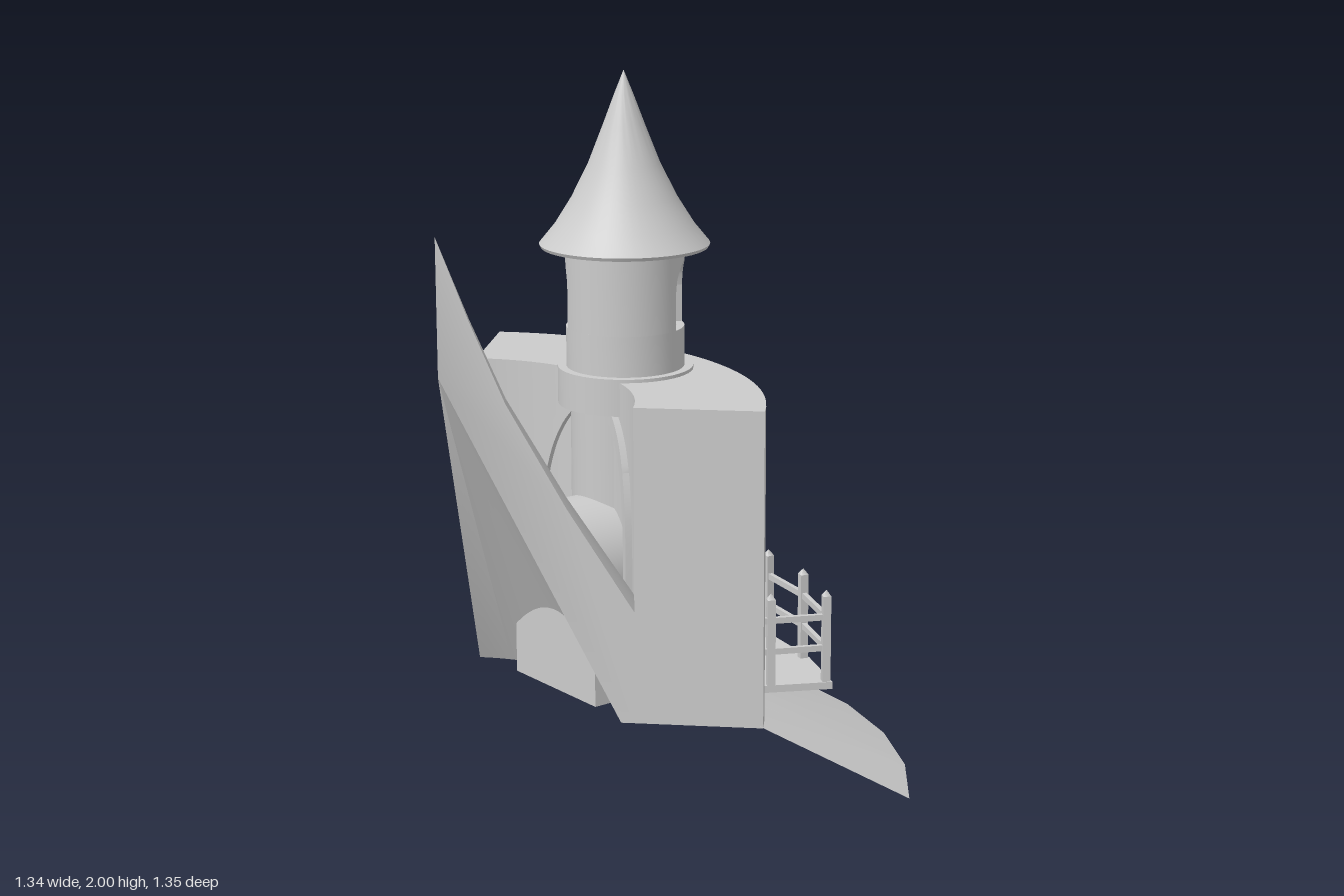
import * as THREE from 'three';
import { toCreasedNormals } from 'three/addons/utils/BufferGeometryUtils.js';

const MAT = new THREE.MeshStandardMaterial({ color: 0xcccccc, side: THREE.DoubleSide });
const CX = -0.667, CZ = 0.66;          // axis of the quarter-round building
const TX = -0.207, TZ = 0.178;         // axis of the tower
const Q = Math.PI / 2, MID = Math.PI / 4;

function add(parent, name, geo) {
  const mesh = new THREE.Mesh(geo, MAT);
  mesh.name = name;
  parent.add(mesh);
  return mesh;
}

// Sweep a counter-clockwise [radius, height] section around a vertical axis.
// Angle 0 points to -z, a quarter turn points to +x.
function sweep(section, a0, a1, n, cx = CX, cz = CZ, crease = 0.5) {
  const pos = [];
  const put = (a, [r, y]) => pos.push(cx + r * Math.sin(a), y, cz - r * Math.cos(a));
  const at = (i) => a0 + (a1 - a0) * i / n;
  for (let i = 0; i < n; i++) {
    const a = at(i), b = at(i + 1), s = section(a), t = section(b);
    s.forEach((p, k) => {
      const m = (k + 1) % s.length;
      put(a, p); put(a, s[m]); put(b, t[m]);
      put(a, p); put(b, t[m]); put(b, t[k]);
    });
  }
  // end faces
  for (const [a, flip] of [[a0, true], [a1, false]]) {
    const s = section(a);
    if (s.length < 3) continue;
    const flat = s.map(([r, y]) => new THREE.Vector2(r, y));
    for (const f of THREE.ShapeUtils.triangulateShape(flat, [])) {
      (flip ? [f[0], f[2], f[1]] : f).forEach((k) => put(a, s[k]));
    }
  }
  const geo = new THREE.BufferGeometry();
  geo.setAttribute('position', new THREE.Float32BufferAttribute(pos, 3));
  geo.computeVertexNormals();
  return toCreasedNormals(geo, crease);
}

// Rectangular section whose lower and upper heights may depend on the angle
const band = (r0, r1, lo, hi) => (a) => {
  const l = typeof lo === 'function' ? lo(a) : lo;
  const h = typeof hi === 'function' ? hi(a) : hi;
  return [[r0, l], [r1, l], [r1, h], [r0, h]];
};

// Height of an elliptical arch centred on an angle
const arch = (centre, half, spring, top) => (a) =>
  spring + (top - spring) * Math.sqrt(Math.max(0, 1 - ((a - centre) / half) ** 2));

// Arched window frame following the curve of the wall
function archFrame(parent, name, r0, r1, halfOut, halfIn) {
  const g = new THREE.Group();
  g.name = name;
  const outer = arch(MID, halfOut, 0.66, 1.07), inner = arch(MID, halfIn, 0.66, 1.035);
  add(g, 'frameArch', sweep(band(r0, r1, inner, outer), MID - halfIn, MID + halfIn, 48));
  for (const s of [-1, 1]) {
    const e = [MID + s * halfIn, MID + s * halfOut].sort((p, q) => p - q);
    add(g, 'frameLeg', sweep(band(r0, r1, 0.52, outer), e[0], e[1], 8));
  }
  parent.add(g);
}

function buildTower(parent) {
  const g = new THREE.Group();
  g.name = 'tower';
  const cyl = (name, r, y0, y1) =>
    add(g, name, new THREE.CylinderGeometry(r, r, y1 - y0, 48).translate(TX, (y0 + y1) / 2, TZ));
  cyl('shaft', 0.163, 0.5, 1.03);
  cyl('baseRing', 0.2, 1.02, 1.13);

  // turret wall with one arched window on each side
  const r0 = 0.15, r1 = 0.174, half = 0.41, ring = (lo, hi, a0, a1, n) =>
    add(g, 'turretWall', sweep(band(r0, r1, lo, hi), a0, a1, n, TX, TZ));
  ring(1.12, 1.25, 0, 4 * Q, 48);
  for (const c of [Q, 3 * Q]) {
    ring(arch(c, half, 1.36, 1.445), 1.49, c - half, c + half, 24);
    ring(1.25, 1.49, c + half, c + 2 * Q - half, 24);
  }

  // flared roof with a thin eave
  const profile = [[0.16, 1.485], [0.245, 1.485], [0.25, 1.495], [0.205, 1.55], [0.155, 1.63],
    [0.105, 1.73], [0.06, 1.845], [0.028, 1.93], [0, 2]];
  const roof = new THREE.LatheGeometry(profile.map(([r, y]) => new THREE.Vector2(r, y)), 48);
  add(g, 'towerRoof', toCreasedNormals(roof.translate(TX, 0, TZ), 0.5));
  cyl('roofUnderside', 0.17, 1.483, 1.49);
  parent.add(g);
}

function buildBalcony(parent) {
  const g = new THREE.Group();
  g.name = 'balcony';
  const a0 = 0.295, a1 = Q - a0, R = 1.122;
  add(g, 'balconyFloor', sweep(band(0.9, 1.14, 0.2, 0.222), a0 - 0.008, a1 + 0.008, 5, CX, CZ, 0.1));

  const point = (r, a) => new THREE.Vector3(CX + r * Math.sin(a), 0, CZ - r * Math.cos(a));
  const corners = [];
  for (let i = 0; i <= 5; i++) corners.push([R, a0 + 0.006 + (a1 - a0 - 0.012) * i / 5]);

  // pointed posts, including one near the wall at each end
  for (const [r, a] of [[0.955, a0], ...corners, [0.955, a1]]) {
    const post = new THREE.Group();
    post.name = 'railPost';
    add(post, 'postShaft', new THREE.BoxGeometry(0.024, 0.265, 0.024).translate(0, 0.3525, 0));
    add(post, 'postTip', new THREE.ConeGeometry(0.017, 0.018, 4, 1).rotateY(MID).translate(0, 0.494, 0));
    post.position.copy(point(r, a));
    post.rotation.y = -a;
    g.add(post);
  }

  // two rails from wall to wall
  const path = [[0.91, a0], ...corners, [0.91, a1]].map(([r, a]) => point(r, a));
  for (const y of [0.325, 0.42]) {
    for (let i = 0; i + 1 < path.length; i++) {
      const d = path[i + 1].clone().sub(path[i]);
      const rail = add(g, 'rail', new THREE.BoxGeometry(0.014, 0.018, d.length()));
      rail.position.copy(path[i]).addScaledVector(d, 0.5).setY(y);
      rail.rotation.y = Math.atan2(d.x, d.z);
    }
  }
  parent.add(g);
}

export function createModel() {
  const model = new THREE.Group();
  model.name = 'castleQuarter';

  // sloping ground apron
  add(model, 'apron', sweep(() => [[0.91, 0.197], [1.337, 0]], 0, Q + 0.006, 8));

  // curved outer wall
  add(model, 'curvedWall', sweep(band(0.55, 0.918, 0.19, 1.12), 0, Q, 24));

  // steep conical inner roof, thick and cut open on both sides
  const cone = [[0, 1.19], [0.51, 0.19], [0.552, 0.19], [0.552, 0.52],
    [0.36, 0.82], [0.19, 1.12], [0.09, 1.355], [0, 1.59]];
  add(model, 'innerCone', sweep(() => cone, 0, Q, 24));

  // vaulted passage through the wall
  const vault = new THREE.Shape();
  vault.moveTo(-0.2, 0.185);
  vault.lineTo(0.2, 0.185);
  vault.lineTo(0.2, 0.555);
  vault.absarc(0, 0.555, 0.2, 0, Math.PI);
  const passage = new THREE.ExtrudeGeometry(vault, { depth: 0.515, bevelEnabled: false, curveSegments: 24 });
  const tunnel = add(model, 'passage', toCreasedNormals(passage.translate(0, 0, 0.387), 0.5));
  tunnel.position.set(CX, 0, CZ);
  tunnel.rotation.y = 3 * MID;

  // window frames outside and inside, with the outer sill
  archFrame(model, 'outerWindowFrame', 0.9, 0.968, 0.262, 0.222);
  archFrame(model, 'innerWindowFrame', 0.53, 0.56, 0.45, 0.385);
  add(model, 'windowSill', sweep(band(0.9, 0.97, 0.498, 0.525), MID - 0.3, MID + 0.3, 16));

  buildTower(model);
  buildBalcony(model);
  return model;
}
